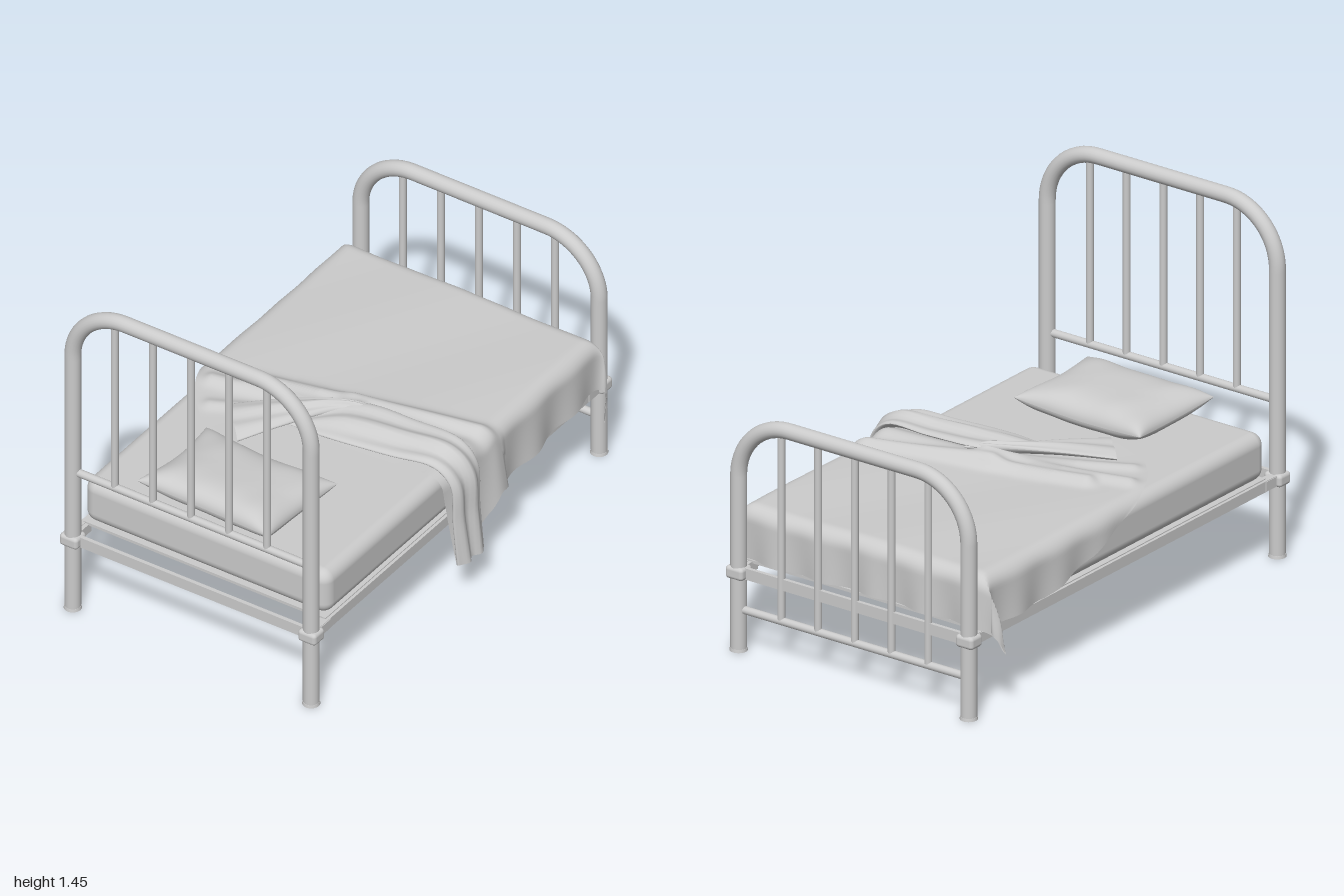
import * as THREE from 'three';
import { RoundedBoxGeometry } from 'three/addons/geometries/RoundedBoxGeometry.js';
import { ParametricGeometry } from 'three/addons/geometries/ParametricGeometry.js';

const V = (x, y, z) => new THREE.Vector3(x, y, z);
const metal = new THREE.MeshStandardMaterial({ color: 0xcccccc });
const cloth = new THREE.MeshStandardMaterial({ color: 0xcccccc, side: THREE.DoubleSide });

const CX = -0.008;      // middle of the bed
const POST_X = 0.542;
const END_Z = 0.964;

function add(parent, name, geometry, x = 0, y = 0, z = 0, material = metal) {
  const mesh = new THREE.Mesh(geometry, material);
  mesh.name = name;
  mesh.position.set(x, y, z);
  parent.add(mesh);
  return mesh;
}

function sheet(fn, nu, nv) {
  const g = new ParametricGeometry(fn, nu, nv);
  g.computeVertexNormals();
  return g;
}

// Smooth-stepped interpolation through [x, y] pairs
function interp(points, x) {
  if (x <= points[0][0]) return points[0][1];
  for (let i = 1; i < points.length; i++) {
    const [x0, y0] = points[i - 1], [x1, y1] = points[i];
    if (x <= x1) return y0 + (y1 - y0) * (x - x0) / (x1 - x0);
  }
  return points[points.length - 1][1];
}

// Bent tube frame with vertical spindles between a cross rail and the top
function bedEnd(name, z, topY, railY) {
  const g = new THREE.Group();
  g.name = name;
  g.position.set(CX, 0, z);
  const r = 0.24, path = new THREE.CurvePath();
  const k = r * 0.45;
  path.add(new THREE.LineCurve3(V(-POST_X, 0, 0), V(-POST_X, topY - r, 0)));
  path.add(new THREE.CubicBezierCurve3(V(-POST_X, topY - r, 0), V(-POST_X, topY - k, 0),
    V(-POST_X + k, topY, 0), V(-POST_X + r, topY, 0)));
  path.add(new THREE.LineCurve3(V(-POST_X + r, topY, 0), V(POST_X - r, topY, 0)));
  path.add(new THREE.CubicBezierCurve3(V(POST_X - r, topY, 0), V(POST_X - k, topY, 0),
    V(POST_X, topY - k, 0), V(POST_X, topY - r, 0)));
  path.add(new THREE.LineCurve3(V(POST_X, topY - r, 0), V(POST_X, 0, 0)));
  add(g, 'bentTube', new THREE.TubeGeometry(path, 140, 0.032, 20));

  const rail = new THREE.CylinderGeometry(0.016, 0.016, POST_X * 2, 14).rotateZ(Math.PI / 2);
  add(g, 'crossRail', rail, 0, railY, 0);
  for (let i = -2; i <= 2; i++) {
    add(g, 'spindle', new THREE.CylinderGeometry(0.015, 0.015, topY - railY, 14),
      i * 0.173 - 0.005, (topY + railY) / 2, 0);
  }
  for (const s of [-1, 1]) {
    add(g, 'footCap', new THREE.CylinderGeometry(0.033, 0.035, 0.012, 20), s * POST_X, 0.006, 0);
    add(g, 'collar', new RoundedBoxGeometry(0.082, 0.052, 0.072, 3, 0.015), s * POST_X, 0.322, 0);
    add(g, 'bracket', new THREE.BoxGeometry(0.04, 0.04, 0.1), s * 0.545, 0.322, -Math.sign(z) * 0.05);
  }
  add(g, 'endRail', new THREE.BoxGeometry(POST_X * 2, 0.046, 0.016), 0, 0.322, 0);
  return g;
}

// Cloth bending over a mattress edge: how far out and down after length e
function bend(e) {
  const r = 0.06;
  if (e <= 0) return [0, 0];
  const t = Math.min(e / r, Math.PI / 2);
  return [r * Math.sin(t), r * (1 - Math.cos(t)) + Math.max(0, e - r * Math.PI / 2)];
}

const ridge = (x, z, x0, z0, x1, z1, width) => {
  const dx = x1 - x0, dz = z1 - z0;
  const t = THREE.MathUtils.clamp(((x - x0) * dx + (z - z0) * dz) / (dx * dx + dz * dz), 0, 1);
  const d = Math.hypot(x - x0 - t * dx, z - z0 - t * dz) / width;
  return Math.exp(-d * d);
};

const HEAD_EDGE = [[-1, 0.03], [-0.9, 0.16], [-0.8, 0.25], [-0.65, 0.34], [-0.36, 0.4], [-0.15, 0.21], [0.1, 0.2], [1, 0.12]];
const LEFT_LEN = [[-0.9, 0.775], [-0.55, 0.765], [-0.25, 0.7], [0.03, 0.59]];
const RIGHT_LEN = [[-0.8, 0.775], [-0.2, 0.83], [-0.12, 0.88], [-0.04, 0.965]];

// Blanket: a flat sheet laid over the mattress, falling at the sides and foot
function blanketPoint(u, v, out) {
  const s = u * 2 - 1, b = -1.11 + v * (interp(HEAD_EDGE, s) + 1.11);
  const a = s * interp(s < 0 ? LEFT_LEN : RIGHT_LEN, b);
  const side = Math.sign(a), flat = 0.525;
  const [ox, dx] = bend(Math.abs(a) - flat);
  const [oz, dz] = bend(-0.86 - b);
  const both = Math.min(dx, dz), drop = Math.max(dx, dz) + 0.5 * both;
  let x = Math.min(Math.abs(a), flat) + ox, z = Math.max(b, -0.86) - oz;
  x += both * 0.3 + dx * (0.05 * Math.sin(b * 24) + (a > 0 && b > -0.25 ? 0.1 : 0.04));
  z += both * 0.3 + dz * 0.05 * Math.sin(a * 27);
  x = x * side;
  const lift = 0.03 * ridge(x, z, 0.6, -0.19, -0.35, 0.03, 0.035)
    + 0.025 * ridge(x, z, 0.6, -0.05, 0.05, -0.03, 0.05)
    + 0.022 * ridge(x, z, 0.1, 0, -0.48, 0.12, 0.035)
    + 0.014 * ridge(x, z, 0.1, 0, -0.4, 0.25, 0.03)
    + 0.003 * Math.sin(x * 9 + z * 5);
  out.set(x + CX, 0.572 - drop + lift, z);
}

// Flattened, rippled roll of cloth between two edge paths
function foldGeometry(stations, ripple) {
  const curve = i => new THREE.CatmullRomCurve3(stations.map(s => V(...s[i])));
  const [back, front, normal] = [curve(0), curve(1), curve(2)];
  return sheet((u, v, out) => {
    const th = u * Math.PI * 2, w = (1 - Math.cos(th)) / 2;
    const thick = 0.005 + 0.015 * Math.min(1, v * 6);
    const off = thick * Math.sin(th) + ripple * Math.sin(w * 12 + v * 5) * Math.sin(w * Math.PI) * Math.min(1, v * 4);
    out.lerpVectors(back.getPoint(v), front.getPoint(v), w);
    out.addScaledVector(normal.getPoint(v).normalize(), off);
  }, 36, 40);
}

// Pillow half: pinched corners, puffed middle
function pillowHalf(sign) {
  return sheet((p, q, out) => {
    const u = Math.sin((p - 0.5) * Math.PI), v = Math.sin((q - 0.5) * Math.PI);
    const puff = Math.sqrt(Math.max(0, (1 - u ** 4) * (1 - v ** 4)));
    const corner = u * u * v * v;
    const crease = 0.006 * Math.sin(u * 9 + v * 3) * Math.abs(u * v);
    out.set(0.305 * u * (1 - 0.07 * (1 - v * v)),
      sign * puff * (sign > 0 ? 0.075 : 0.055) + 0.02 * corner + crease * puff + 0.012 * v * (1 - Math.abs(u) * 0.3),
      0.222 * v * (1 - 0.09 * (1 - u * u)));
  }, 40, 36);
}

export function createModel() {
  const bed = new THREE.Group();
  bed.name = 'bed';
  bed.add(bedEnd('headboard', END_Z, 1.418, 0.638));
  bed.add(bedEnd('footboard', -END_Z, 0.956, 0.17));

  // Frame and mattress
  for (const s of [-1, 1]) {
    add(bed, 'sideRail', new THREE.BoxGeometry(0.02, 0.044, END_Z * 2), CX + s * 0.552, 0.322, 0);
  }
  add(bed, 'basePanel', new THREE.BoxGeometry(1.1, 0.012, 1.78), CX, 0.342, -0.01);
  add(bed, 'mattress', new RoundedBoxGeometry(1.112, 0.195, 1.78, 6, 0.05), CX, 0.445, -0.01);

  // Pillow
  const pillow = new THREE.Group();
  pillow.name = 'pillow';
  pillow.position.set(-0.012, 0.597, 0.655);
  pillow.rotation.y = -0.03;
  add(pillow, 'pillowTop', pillowHalf(1), 0, 0, 0, cloth);
  add(pillow, 'pillowBottom', pillowHalf(-1), 0, 0, 0, cloth);
  bed.add(pillow);

  // Blanket with its turned-back band and corner flap
  add(bed, 'blanket', sheet(blanketPoint, 110, 110), 0, 0, 0, cloth);
  const up = [0, 1, 0], out = [1, 0.05, 0];
  add(bed, 'foldedBand', foldGeometry([
    [[-0.09, 0.585, 0.17], [-0.08, 0.58, 0.2], up],
    [[0.08, 0.615, -0.02], [0.1, 0.59, 0.2], up],
    [[0.33, 0.615, -0.05], [0.35, 0.595, 0.17], up],
    [[0.53, 0.61, -0.05], [0.53, 0.595, 0.14], [0.2, 1, 0]],
    [[0.6, 0.54, -0.05], [0.6, 0.53, 0.13], out],
    [[0.615, 0.36, -0.045], [0.615, 0.35, 0.13], out],
    [[0.635, 0.165, -0.04], [0.63, 0.17, 0.125], out],
  ], 0.014), 0, 0, 0, cloth);
  add(bed, 'cornerFlap', foldGeometry([
    [[0.16, 0.61, -0.05], [0.18, 0.605, -0.02], up],
    [[0, 0.622, 0.02], [0.04, 0.61, 0.06], up],
    [[-0.17, 0.615, 0.12], [-0.08, 0.6, 0.23], up],
    [[-0.34, 0.592, 0.24], [-0.185, 0.582, 0.4], up],
  ], 0.006), 0, 0, 0, cloth);
  return bed;
}
